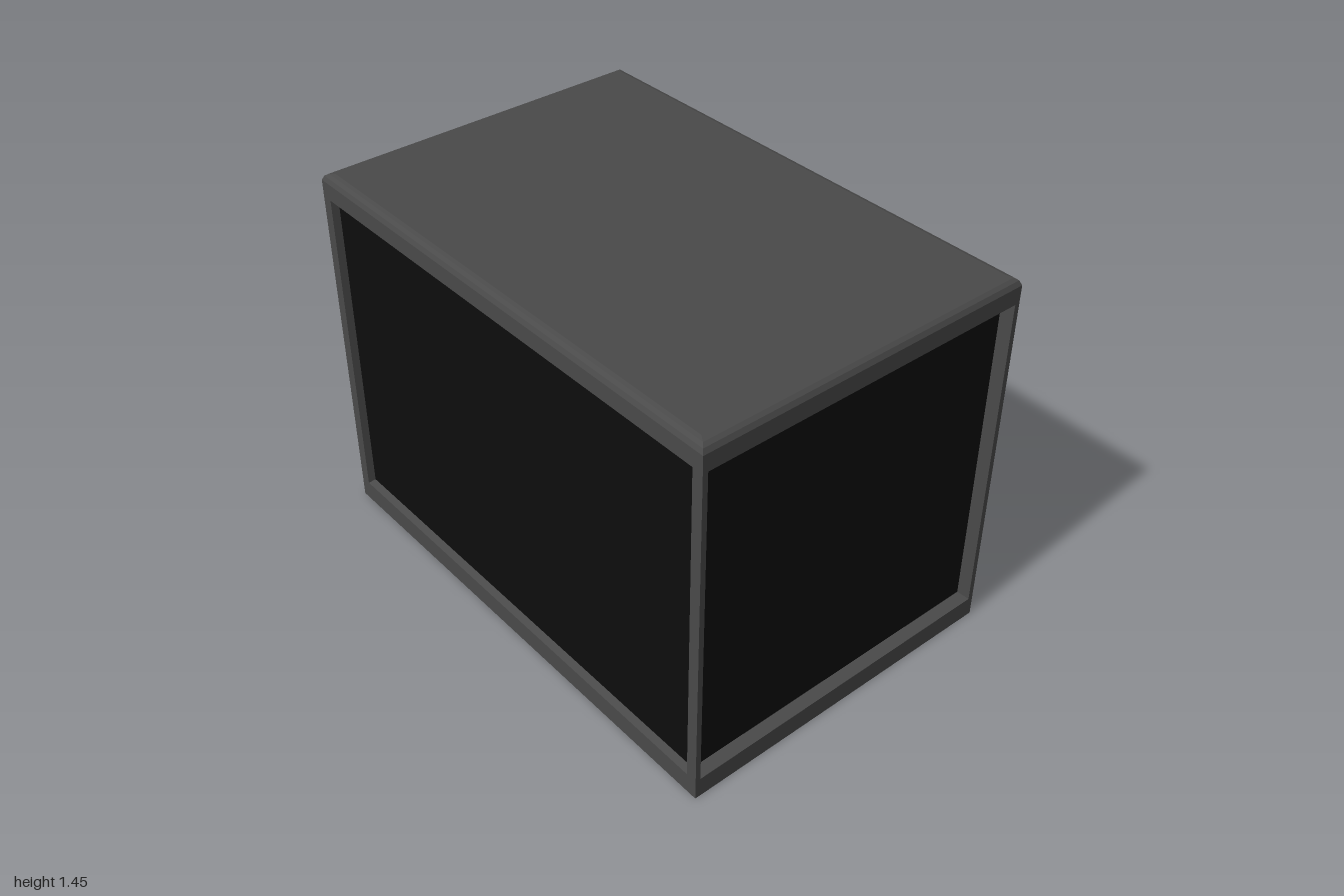
import * as THREE from 'three';

const W = 0.665, D = 1; // outer half width and half depth
const IW = 0.637, ID = 0.953; // half size of the dark core

// Solid lofted through rings of four [x, y, z] corners, bottom to top,
// each ring counter-clockwise seen from above.
function loft(rings) {
  const pos = [];
  const tri = (...pts) => pts.forEach((p) => pos.push(...p));
  for (let r = 0; r < rings.length - 1; r++) {
    const a = rings[r], b = rings[r + 1];
    for (let i = 0; i < 4; i++) {
      const j = (i + 1) % 4;
      tri(a[i], a[j], b[j]);
      tri(a[i], b[j], b[i]);
    }
  }
  const lo = rings[0], hi = rings[rings.length - 1];
  tri(lo[0], lo[2], lo[1]);
  tri(lo[0], lo[3], lo[2]);
  tri(hi[0], hi[1], hi[2]);
  tri(hi[0], hi[2], hi[3]);
  const geo = new THREE.BufferGeometry();
  geo.setAttribute('position', new THREE.Float32BufferAttribute(pos, 3));
  geo.computeVertexNormals();
  return geo;
}

// Rectangular ring at height y
const rect = (y, x, z) => [[x, y, z], [x, y, -z], [-x, y, -z], [-x, y, z]];

export function createModel() {
  const group = new THREE.Group();
  const frameGrey = new THREE.MeshStandardMaterial({ color: 0x4a4a4a });
  frameGrey.name = 'frame grey';
  const panelBlack = new THREE.MeshStandardMaterial({ color: 0x0d0d0d });
  panelBlack.name = 'panel black';

  const add = (name, geo, mat) => {
    const mesh = new THREE.Mesh(geo, mat);
    mesh.name = name;
    group.add(mesh);
  };

  // Base slab with a sloped inner ledge
  add('base', loft([rect(0, W, D), rect(0.08, W, D), rect(0.087, IW, ID)]), frameGrey);

  // Lid with rounded upper edges
  add('lid', loft([
    rect(1.345, IW, ID),
    rect(1.35, W, D),
    rect(1.415, W, D),
    rect(1.432, W - 0.007, D - 0.009),
    rect(1.441, W - 0.018, D - 0.022),
    rect(1.445, W - 0.032, D - 0.045),
  ]), frameGrey);

  // Recessed dark panels on all four sides
  add('panels', loft([rect(0.06, IW, ID), rect(1.37, IW, ID)]), panelBlack);

  // Slim corner posts with splayed inner faces
  const section = [[W, D], [W, 0.957], [IW - 0.001, ID - 0.002], [0.645, D]];
  for (const sx of [1, -1]) {
    for (const sz of [1, -1]) {
      const pts = section.map(([x, z]) => [x * sx, z * sz]);
      if (sx * sz < 0) pts.reverse();
      const ring = (y) => pts.map(([x, z]) => [x, y, z]);
      const name = (sz > 0 ? 'front' : 'back') + (sx > 0 ? 'Left' : 'Right') + 'Post';
      add(name, loft([ring(0.08), ring(1.35)]), frameGrey);
    }
  }
  return group;
}
